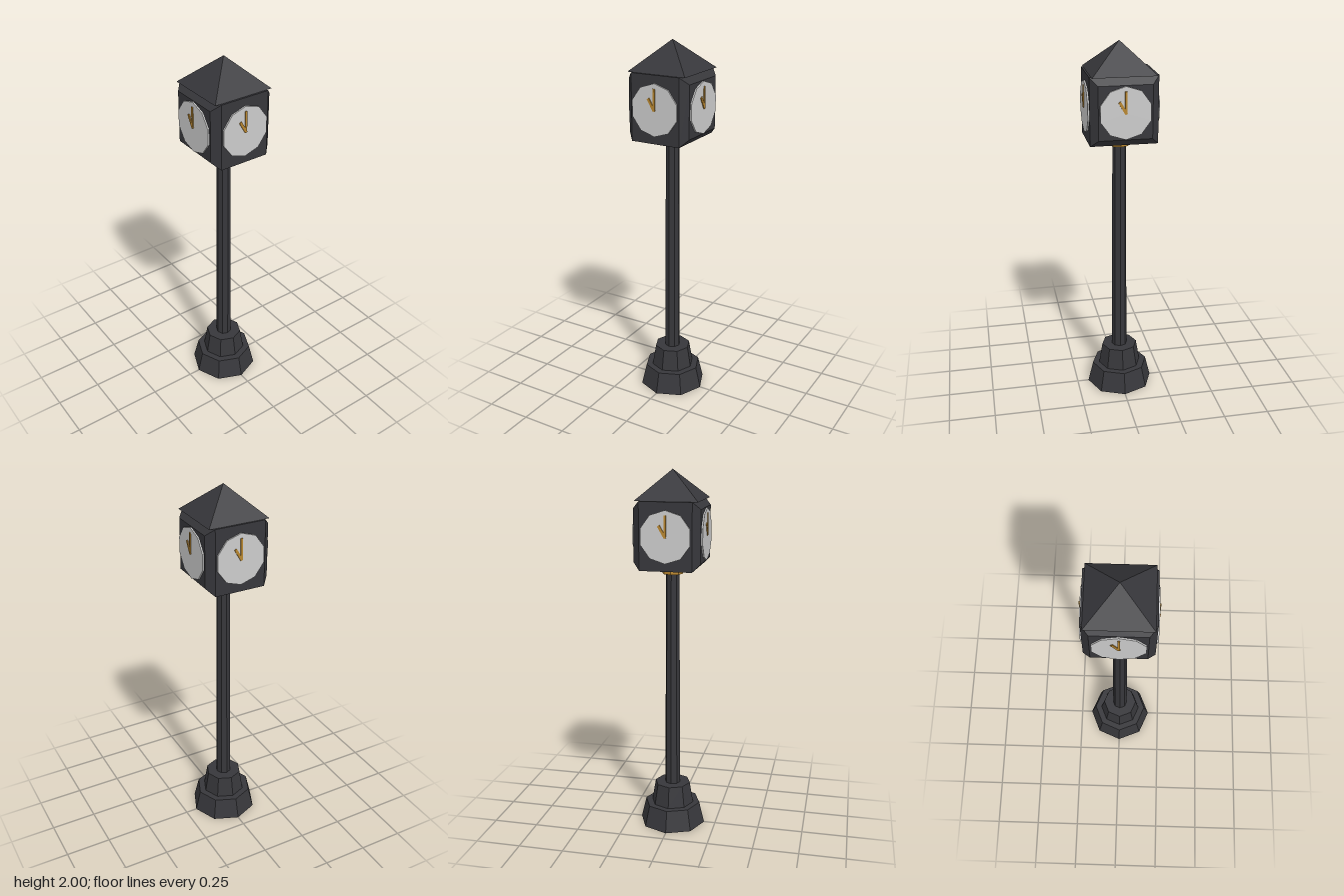
import * as THREE from 'three';

const iron = new THREE.MeshStandardMaterial({ color: 0x37373b, flatShading: true });
const brass = new THREE.MeshStandardMaterial({ color: 0xb8862f, flatShading: true });
const dialGrey = new THREE.MeshStandardMaterial({ color: 0xcccccc, flatShading: true });

function add(parent, name, geometry, material, x = 0, y = 0, z = 0) {
  const mesh = new THREE.Mesh(geometry, material);
  mesh.name = name;
  mesh.position.set(x, y, z);
  parent.add(mesh);
  return mesh;
}

// Octagonal section standing between two heights
function octagon(parent, name, rTop, rBottom, y0, y1, material) {
  return add(parent, name, new THREE.CylinderGeometry(rTop, rBottom, y1 - y0, 8), material, 0, (y0 + y1) / 2);
}

// Case: a square bevelled towards the front and back
function caseGeometry(half, bevel) {
  const s = half - bevel;
  const shape = new THREE.Shape([
    new THREE.Vector2(-s, -s), new THREE.Vector2(s, -s),
    new THREE.Vector2(s, s), new THREE.Vector2(-s, s),
  ]);
  const geometry = new THREE.ExtrudeGeometry(shape, {
    depth: 2 * s, bevelEnabled: true, bevelThickness: bevel, bevelSize: bevel, bevelSegments: 1,
  });
  return geometry.translate(0, 0, -s);
}

// Dial with two hands, facing +z; hands pivot on the dial centre
function createClockFace() {
  const face = new THREE.Group();
  face.name = 'clockFace';
  const dial = new THREE.CylinderGeometry(0.137, 0.137, 0.016, 10).rotateX(Math.PI / 2);
  add(face, 'dial', dial, dialGrey, 0, 0, 0.178);
  const hand = (name, length, width, angle) => {
    const geometry = new THREE.BoxGeometry(width, length, 0.006).translate(0, length / 2 - 0.004, 0);
    add(face, name, geometry, brass, 0, 0, 0.188).rotation.z = angle;
  };
  hand('minuteHand', 0.115, 0.011, 0);
  hand('hourHand', 0.072, 0.014, Math.PI / 6);
  return face;
}

export function createModel() {
  const model = new THREE.Group();
  model.name = 'streetClock';

  // Stepped foot, post and collar
  octagon(model, 'lowerBase', 0.157, 0.186, 0, 0.12, iron);
  octagon(model, 'upperBase', 0.1, 0.12, 0.12, 0.24, iron);
  octagon(model, 'post', 0.037, 0.043, 0.24, 1.49, iron);
  octagon(model, 'collar', 0.057, 0.057, 1.452, 1.495, brass);

  // Clock head with a dial on each of its four sides
  const head = new THREE.Group();
  head.name = 'clockHead';
  head.position.y = 1.667;
  model.add(head);
  add(head, 'case', caseGeometry(0.178, 0.038), iron);
  for (let i = 0; i < 4; i++) {
    const face = createClockFace();
    face.rotation.y = i * Math.PI / 2;
    head.add(face);
  }

  // Pyramid roof
  const roof = new THREE.ConeGeometry(0.168 * Math.SQRT2, 0.155, 4).rotateY(Math.PI / 4);
  add(model, 'roof', roof, iron, 0, 1.9225);

  return model;
}
